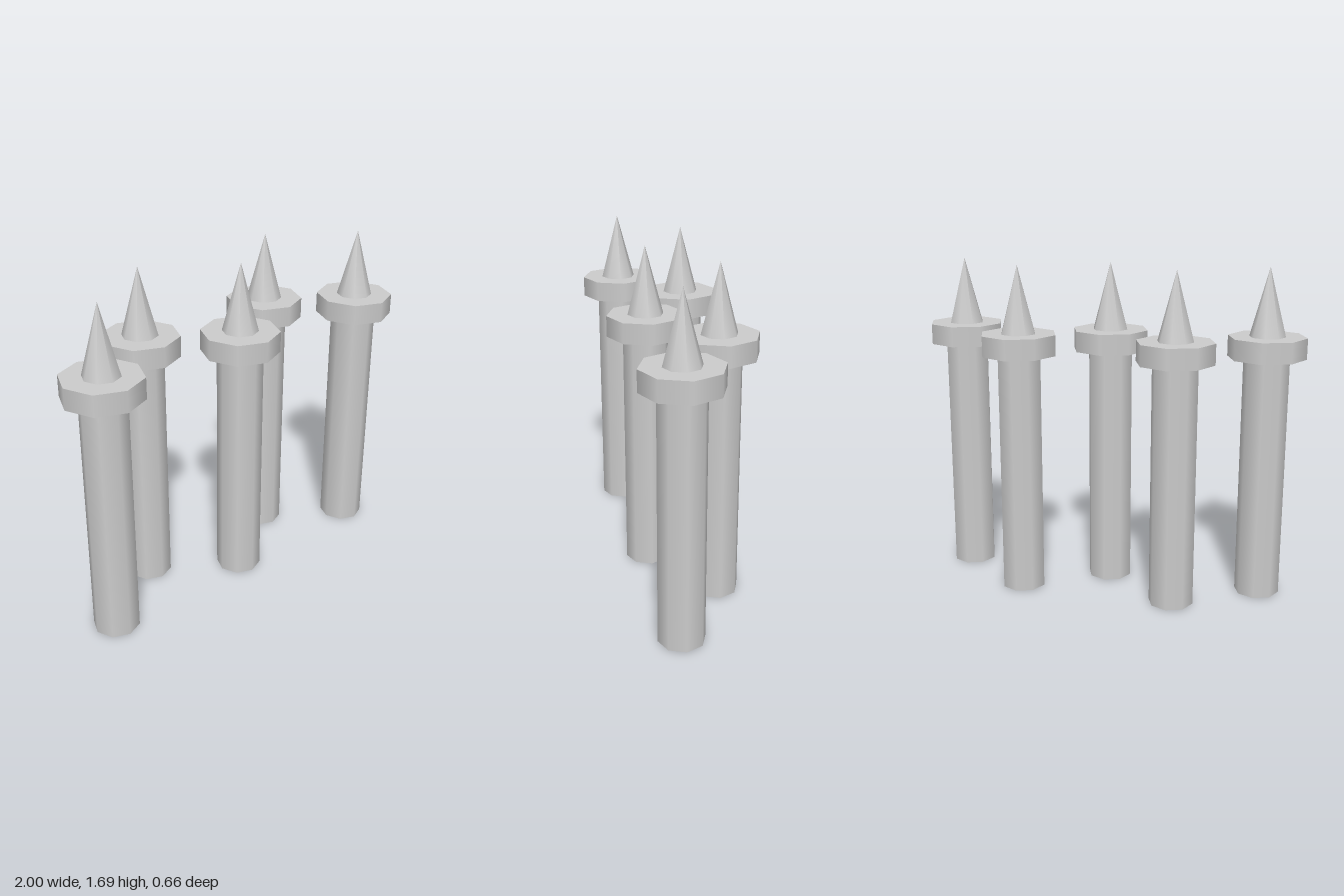
import * as THREE from 'three';

const SIDES = 8;
const SPACING = 0.402;
const OFFSET_Z = 0.134;

export function createModel() {
  const model = new THREE.Group();
  model.name = 'spikedPosts';
  const material = new THREE.MeshStandardMaterial({ color: 0xcccccc });

  // Each part: name, top radius, bottom radius, bottom y, top y
  const parts = [
    ['shaft', 0.115, 0.115, 0, 1.245],
    ['collar', 0.196, 0.196, 1.245, 1.35],
    ['spike', 0, 0.09, 1.35, 1.69],
  ].map(([name, rTop, rBottom, y0, y1]) => {
    const geometry = new THREE.CylinderGeometry(rTop, rBottom, y1 - y0, SIDES);
    geometry.translate(0, (y0 + y1) / 2, 0);
    return { name, geometry };
  });

  // Five posts in a zigzag row
  for (let i = -2; i <= 2; i++) {
    const post = new THREE.Group();
    post.name = `post${i + 3}`;
    for (const { name, geometry } of parts) {
      const mesh = new THREE.Mesh(geometry, material);
      mesh.name = name;
      post.add(mesh);
    }
    post.position.set(i * SPACING, 0, i % 2 === 0 ? OFFSET_Z : -OFFSET_Z);
    model.add(post);
  }
  return model;
}
